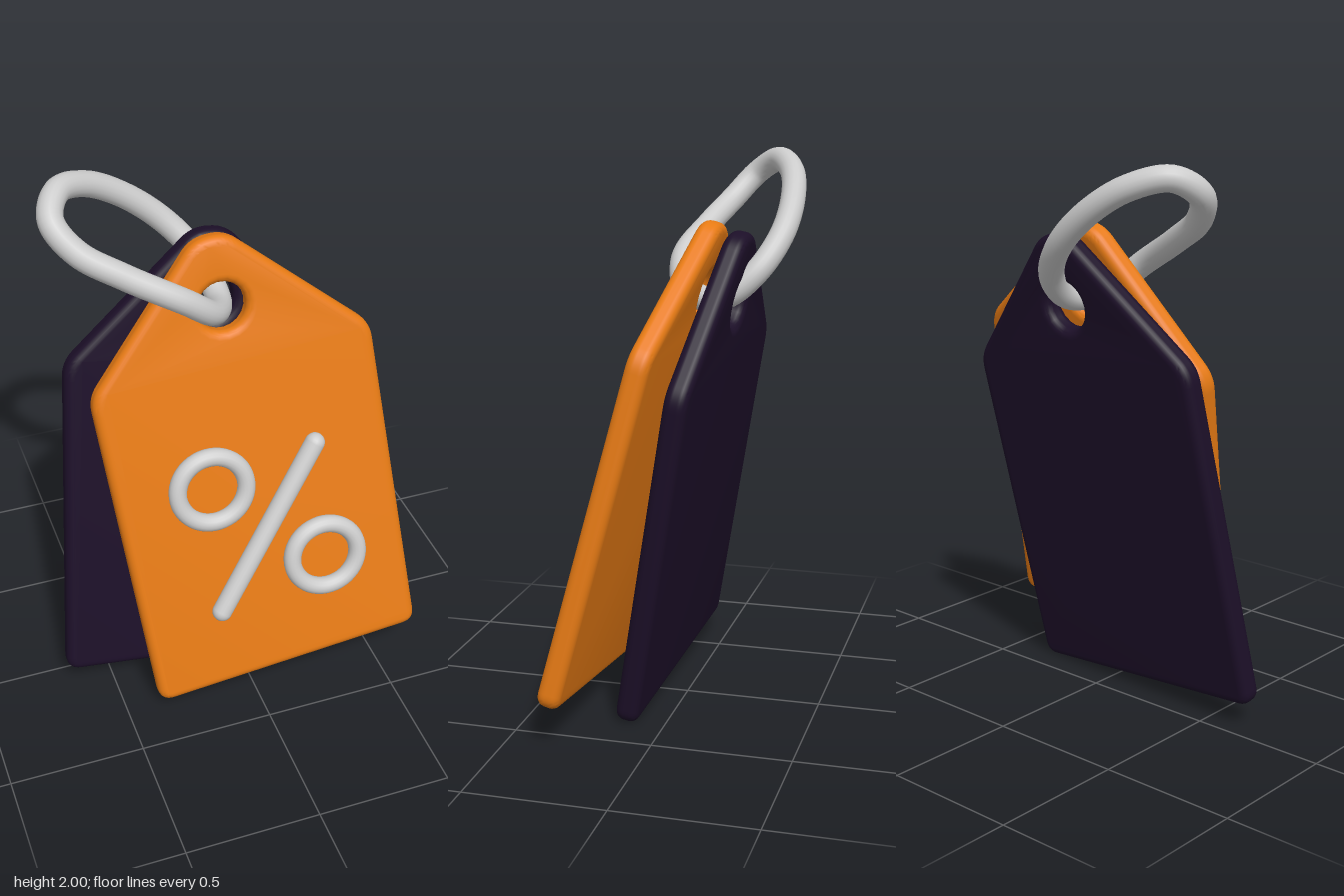
import * as THREE from 'three';
import { toCreasedNormals } from 'three/addons/utils/BufferGeometryUtils.js';

const material = (color) => new THREE.MeshStandardMaterial({ color });

function add(parent, name, geometry, mat) {
  const mesh = new THREE.Mesh(geometry, mat);
  mesh.name = name;
  parent.add(mesh);
  return mesh;
}

// Polygon outline with every corner rounded off
function roundedShape(corners, radius) {
  const pts = corners.map(([x, y]) => new THREE.Vector2(x, y));
  const shape = new THREE.Shape();
  pts.forEach((p, i) => {
    const prev = pts[(i + pts.length - 1) % pts.length];
    const next = pts[(i + 1) % pts.length];
    const a = p.clone().add(prev.clone().sub(p).setLength(radius));
    const b = p.clone().add(next.clone().sub(p).setLength(radius));
    if (i === 0) shape.moveTo(a.x, a.y);
    else shape.lineTo(a.x, a.y);
    shape.quadraticCurveTo(p.x, p.y, b.x, b.y);
  });
  shape.closePath();
  return shape;
}

// Soft-edged tag body; its origin is the centre of the hole
function tagGeometry() {
  const shape = roundedShape([
    [-0.52, -1.47], [0.52, -1.47], [0.52, -0.21],
    [0.06, 0.255], [-0.06, 0.255], [-0.52, -0.21],
  ], 0.055);
  const hole = new THREE.Path();
  hole.absarc(0, 0, 0.088, 0, Math.PI * 2, true);
  shape.holes.push(hole);
  const bevel = 0.032, depth = 0.02;
  const geo = new THREE.ExtrudeGeometry(shape, {
    depth, bevelEnabled: true, bevelThickness: bevel, bevelSize: bevel,
    bevelOffset: -bevel, bevelSegments: 6, curveSegments: 10,
  });
  geo.translate(0, 0, -depth / 2);
  return toCreasedNormals(geo, 0.5);
}

// Group lying in a plane that leans back and turns slightly, rolled by an angle
function tiltedGroup(name, position, roll, lean, turn) {
  const n = new THREE.Vector3(-turn, lean, 1);
  const c = Math.cos(roll), s = Math.sin(roll);
  const u = new THREE.Vector3(c, s, turn * c - lean * s).normalize();
  n.normalize();
  const v = new THREE.Vector3().crossVectors(n, u);
  const group = new THREE.Group();
  group.name = name;
  group.quaternion.setFromRotationMatrix(new THREE.Matrix4().makeBasis(u, v, n));
  group.position.set(...position);
  return group;
}

export function createModel() {
  const model = new THREE.Group();
  model.name = 'discountTags';
  const grey = material(0xcccccc);
  const body = tagGeometry();

  // Front and back tags
  const front = tiltedGroup('frontTag', [-0.01, 1.52, -0.03], 0.107, 0.25, 0.04);
  add(front, 'frontTagBody', body, material(0xe67a14));
  const back = tiltedGroup('backTag', [-0.017, 1.485, -0.148], -0.09, 0.187, 0.04);
  add(back, 'backTagBody', body, material(0x1c0f28));
  model.add(front, back);

  // Raised percent sign: two rings and a slanted bar
  [[-0.17, -0.653], [0.2, -1.05]].forEach(([x, y], i) => {
    const ring = add(front, i ? 'lowerRing' : 'upperRing',
      new THREE.TorusGeometry(0.128, 0.033, 16, 48), grey);
    ring.position.set(x, y, 0.055);
  });
  const low = new THREE.Vector2(-0.225, -1.15);
  const high = new THREE.Vector2(0.234, -0.588);
  const span = high.clone().sub(low);
  const bar = add(front, 'slantedBar',
    new THREE.CapsuleGeometry(0.037, span.length(), 8, 20), grey);
  bar.position.set((low.x + high.x) / 2, (low.y + high.y) / 2, 0.055);
  bar.rotation.z = span.angle() - Math.PI / 2;

  // Cord looped through both holes
  const path = [
    [0, 1.495, -0.07], [-0.06, 1.53, 0.025], [-0.17, 1.62, 0.06],
    [-0.36, 1.725, 0.01], [-0.5, 1.81, -0.05], [-0.562, 1.9, -0.125],
    [-0.515, 1.955, -0.215], [-0.4, 1.925, -0.29], [-0.26, 1.84, -0.325],
    [-0.12, 1.72, -0.315], [-0.02, 1.6, -0.25], [0.01, 1.515, -0.155],
  ].map((p) => new THREE.Vector3(...p));
  const curve = new THREE.CatmullRomCurve3(path, true, 'centripetal');
  add(model, 'cord', new THREE.TubeGeometry(curve, 120, 0.045, 18, true), grey);

  return model;
}
